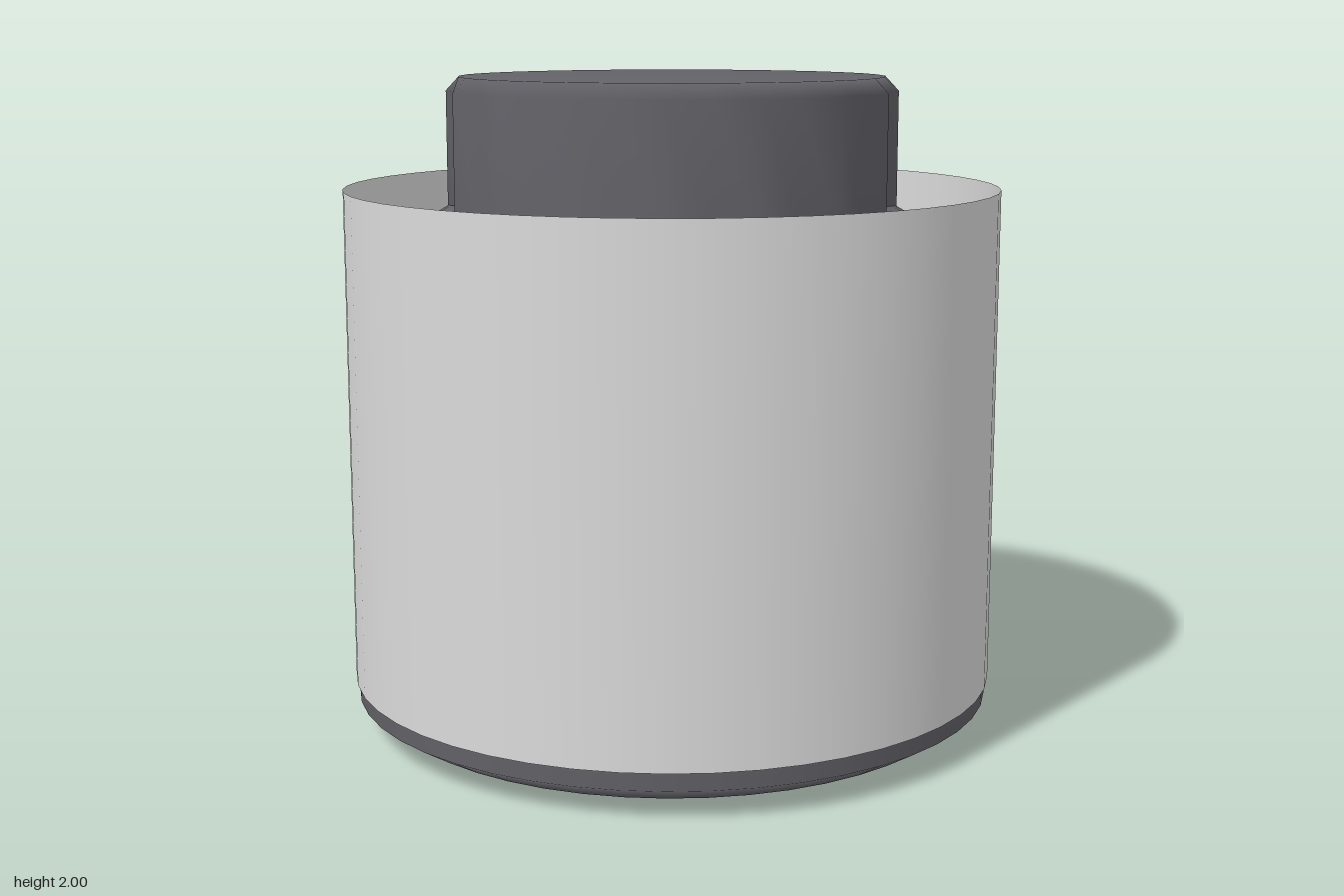
import * as THREE from 'three';
import { mergeVertices } from 'three/addons/utils/BufferGeometryUtils.js';

const dark = new THREE.MeshStandardMaterial({ color: 0x626268 });
dark.name = 'darkPlastic';
const pale = new THREE.MeshStandardMaterial({ color: 0xdadada, side: THREE.DoubleSide });
pale.name = 'paleLabel';

// Revolve a profile of [radius, height] points, listed from bottom to top
function revolve(profile, segments) {
  return new THREE.LatheGeometry(profile.map(([r, y]) => new THREE.Vector2(r, y)), segments);
}

function add(group, name, geometry, material) {
  const mesh = new THREE.Mesh(geometry, material);
  mesh.name = name;
  group.add(mesh);
}

// Cap with 16 ridges: every second column of the wall is pulled inwards
function fluted(profile, ridges, groove) {
  let geo = revolve(profile, ridges * 2);
  const pos = geo.attributes.position;
  for (let i = 0; i < pos.count; i++) {
    const column = Math.floor(i / profile.length);
    const r = Math.hypot(pos.getX(i), pos.getZ(i));
    if (column % 2 === 1 && r > groove) {
      pos.setX(i, pos.getX(i) * groove / r);
      pos.setZ(i, pos.getZ(i) * groove / r);
    }
  }
  geo.deleteAttribute('normal');
  geo.deleteAttribute('uv');
  geo = mergeVertices(geo);
  geo.computeVertexNormals();
  return geo;
}

export function createModel() {
  const group = new THREE.Group();
  group.name = 'jar';

  // Jar body with bevelled base and rounded shoulder
  add(group, 'body', revolve([
    [0, 0], [0.65, 0], [0.9, 0.035], [0.99, 0.09],
    [0.99, 1.35], [0.9, 1.48], [0.69, 1.605], [0.5, 1.66], [0, 1.66],
  ], 48), dark);

  // Open sleeve wrapped around the body
  add(group, 'label', revolve([[1, 0.145], [1, 1.665]], 48), pale);

  // Ridged screw cap with a flat top
  add(group, 'cap', fluted([
    [0.69, 1.56], [0.69, 1.955], [0.648, 2], [0, 2],
  ], 16, 0.658), dark);

  return group;
}
